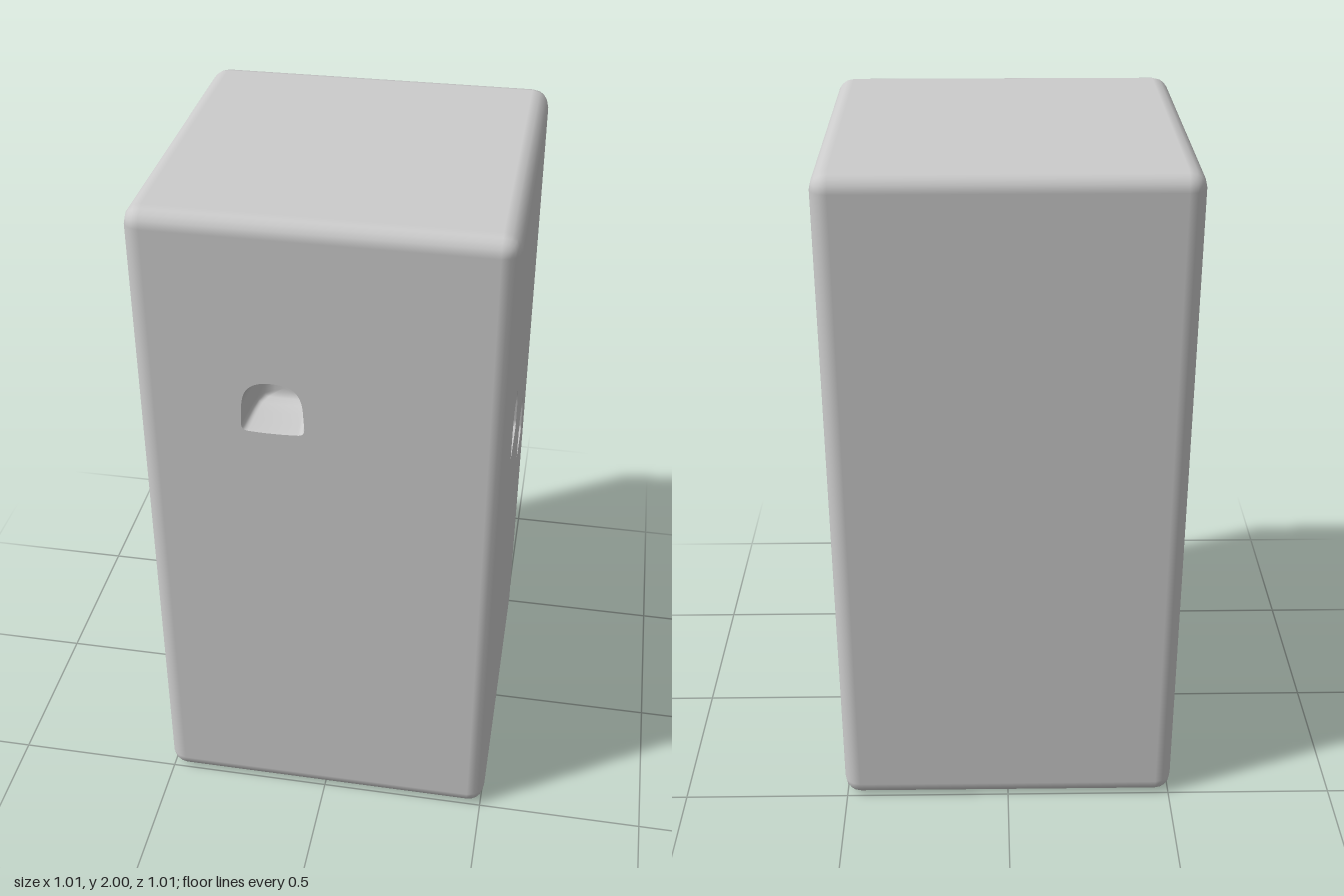
import * as THREE from 'three';
import { RoundedBoxGeometry } from 'three/addons/geometries/RoundedBoxGeometry.js';

const W = 1.015, H = 2, R = 0.05;
const mat = new THREE.MeshStandardMaterial({ color: 0xcccccc });

// Closed arch outline, counter-clockwise, centred on its box
function archPoints(w, h) {
  const x = w / 2, y = h / 2, s = new THREE.Shape();
  s.moveTo(-x * 0.8, -y * 0.97);
  s.quadraticCurveTo(0, -y * 1.03, x * 0.8, -y * 0.97);
  s.quadraticCurveTo(x, -y * 0.95, x, -y * 0.7);
  s.lineTo(x * 0.96, y * 0.1);
  s.bezierCurveTo(x * 0.9, y * 0.8, x * 0.55, y, 0, y);
  s.bezierCurveTo(-x * 0.55, y, -x * 0.9, y * 0.8, -x * 0.96, y * 0.1);
  s.lineTo(-x, -y * 0.7);
  s.quadraticCurveTo(-x, -y * 0.95, -x * 0.8, -y * 0.97);
  return s.getPoints(8).slice(0, -1);
}

// Recess made of shrinking arch rings that run into the wall
function nicheGeometry(outline, h) {
  const rings = [[1, 0], [0.97, 0.012], [0.93, 0.05], [0.88, 0.095], [0.8, 0.13], [0.62, 0.15], [0.3, 0.155], [0.001, 0.155]];
  const n = outline.length, pos = [], idx = [], base = -h * 0.2;
  for (const [s, d] of rings)
    for (const p of outline) pos.push(p.x * s, base + (p.y - base) * s, -d);
  for (let i = 0; i < rings.length - 1; i++)
    for (let j = 0; j < n; j++) {
      const a = i * n + j, b = i * n + (j + 1) % n;
      idx.push(a, b, a + n, b, b + n, a + n);
    }
  const g = new THREE.BufferGeometry();
  g.setAttribute('position', new THREE.Float32BufferAttribute(pos, 3));
  g.setIndex(idx);
  g.computeVertexNormals();
  return g;
}

// Flat wall panel with arched openings and their recesses, facing local +z
function nichedWall(name, niches) {
  const wall = new THREE.Group();
  wall.name = name;
  const x = W / 2 - R, y = H / 2 - R;
  const shape = new THREE.Shape([[-x, -y], [x, -y], [x, y], [-x, y]].map(p => new THREE.Vector2(...p)));
  for (const [cx, cy, w, h] of niches) {
    const outline = archPoints(w, h);
    const centre = new THREE.Vector2(cx, cy - H / 2);
    shape.holes.push(new THREE.Path(outline.map(p => p.clone().add(centre))));
    const niche = new THREE.Mesh(nicheGeometry(outline, h), mat);
    niche.name = 'niche';
    niche.position.set(centre.x, centre.y, W / 2);
    wall.add(niche);
  }
  const panel = new THREE.Mesh(new THREE.ShapeGeometry(shape), mat);
  panel.name = 'panel';
  panel.position.z = W / 2;
  wall.add(panel);
  wall.position.y = H / 2;
  return wall;
}

// Rounded block without its flat front (+z) and side (+x) faces
function blockGeometry() {
  const src = new RoundedBoxGeometry(W, H, W, 2, R);
  const p = src.attributes.position, nr = src.attributes.normal, pos = [], nor = [];
  for (let i = 0; i < p.count; i += 3) {
    const v = [i, i + 1, i + 2];
    const flat = v.every(k => p.getZ(k) > W / 2 - 1e-5) || v.every(k => p.getX(k) > W / 2 - 1e-5);
    if (flat) continue;
    for (const k of v) {
      pos.push(p.getX(k), p.getY(k), p.getZ(k));
      nor.push(nr.getX(k), nr.getY(k), nr.getZ(k));
    }
  }
  const g = new THREE.BufferGeometry();
  g.setAttribute('position', new THREE.Float32BufferAttribute(pos, 3));
  g.setAttribute('normal', new THREE.Float32BufferAttribute(nor, 3));
  return g;
}

export function createModel() {
  const model = new THREE.Group();
  model.name = 'nichedPillar';

  const block = new THREE.Mesh(blockGeometry(), mat);
  block.name = 'block';
  block.position.y = H / 2;
  model.add(block);

  // One niche in front, two stepping down along the side
  model.add(nichedWall('frontWall', [[-0.128, 1.445, 0.175, 0.16]]));
  const side = nichedWall('sideWall', [[-0.217, 1.287, 0.175, 0.16], [0.207, 0.99, 0.165, 0.16]]);
  side.rotation.y = Math.PI / 2;
  model.add(side);
  return model;
}
